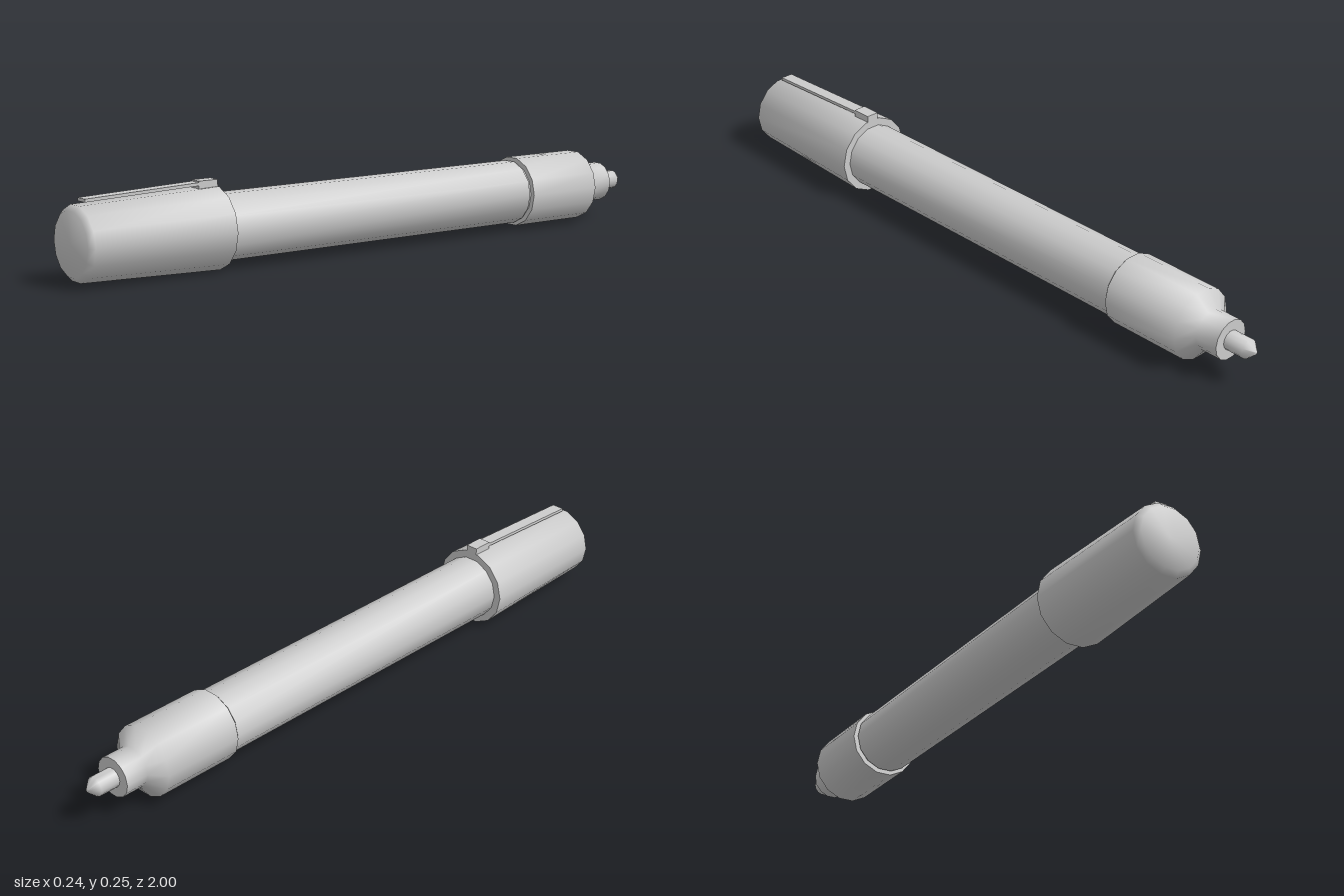
import * as THREE from 'three';
import { toCreasedNormals } from 'three/addons/utils/BufferGeometryUtils.js';

const AXIS_Y = 0.117;
const SIDES = 14;

export function createModel() {
  const group = new THREE.Group();
  const material = new THREE.MeshStandardMaterial({ color: 0xcccccc });

  function add(name, geometry) {
    const mesh = new THREE.Mesh(geometry, material);
    mesh.name = name;
    group.add(mesh);
  }

  // Turned part along z; profile is [radius, z] from back to front
  function turned(name, profile) {
    const points = profile.map(([r, z]) => new THREE.Vector2(r, z));
    const lathe = new THREE.LatheGeometry(points, SIDES, Math.PI / 2);
    lathe.rotateX(Math.PI / 2).translate(0, AXIS_Y, 0);
    add(name, toCreasedNormals(lathe, 1.0));
  }

  // Writing tip with a blunt point
  turned('tip', [[0, -1], [0.006, -0.998], [0.029, -0.973], [0.029, -0.9], [0, -0.9]]);

  // Grip with a sloped shoulder and a narrow nose
  turned('grip', [
    [0, -0.91], [0.06, -0.91], [0.06, -0.838], [0.107, -0.803],
    [0.107, -0.548], [0, -0.548],
  ]);

  // Recessed joint between grip and barrel
  turned('joint', [[0, -0.56], [0.092, -0.56], [0.092, -0.53], [0, -0.53]]);

  // Barrel
  turned('barrel', [[0, -0.54], [0.097, -0.54], [0.097, 0.56], [0, 0.56]]);

  // Tapered cap with a chamfered end
  turned('cap', [[0, 0.545], [0.12, 0.545], [0.107, 0.985], [0.092, 1], [0, 1]]);

  // Clip: side profile in (z, y), thick at the root and thin along the arm
  const profile = [
    [0.545, 0.228], [0.606, 0.228], [0.606, 0.241], [0.965, 0.229],
    [0.965, 0.238], [0.606, 0.25], [0.606, 0.254], [0.545, 0.254],
  ];
  const shape = new THREE.Shape(profile.map(([z, y]) => new THREE.Vector2(-z, y)));
  const clip = new THREE.ExtrudeGeometry(shape, { depth: 0.038, bevelEnabled: false });
  clip.translate(0, 0, -0.019).rotateY(Math.PI / 2);
  add('clip', clip);

  return group;
}
